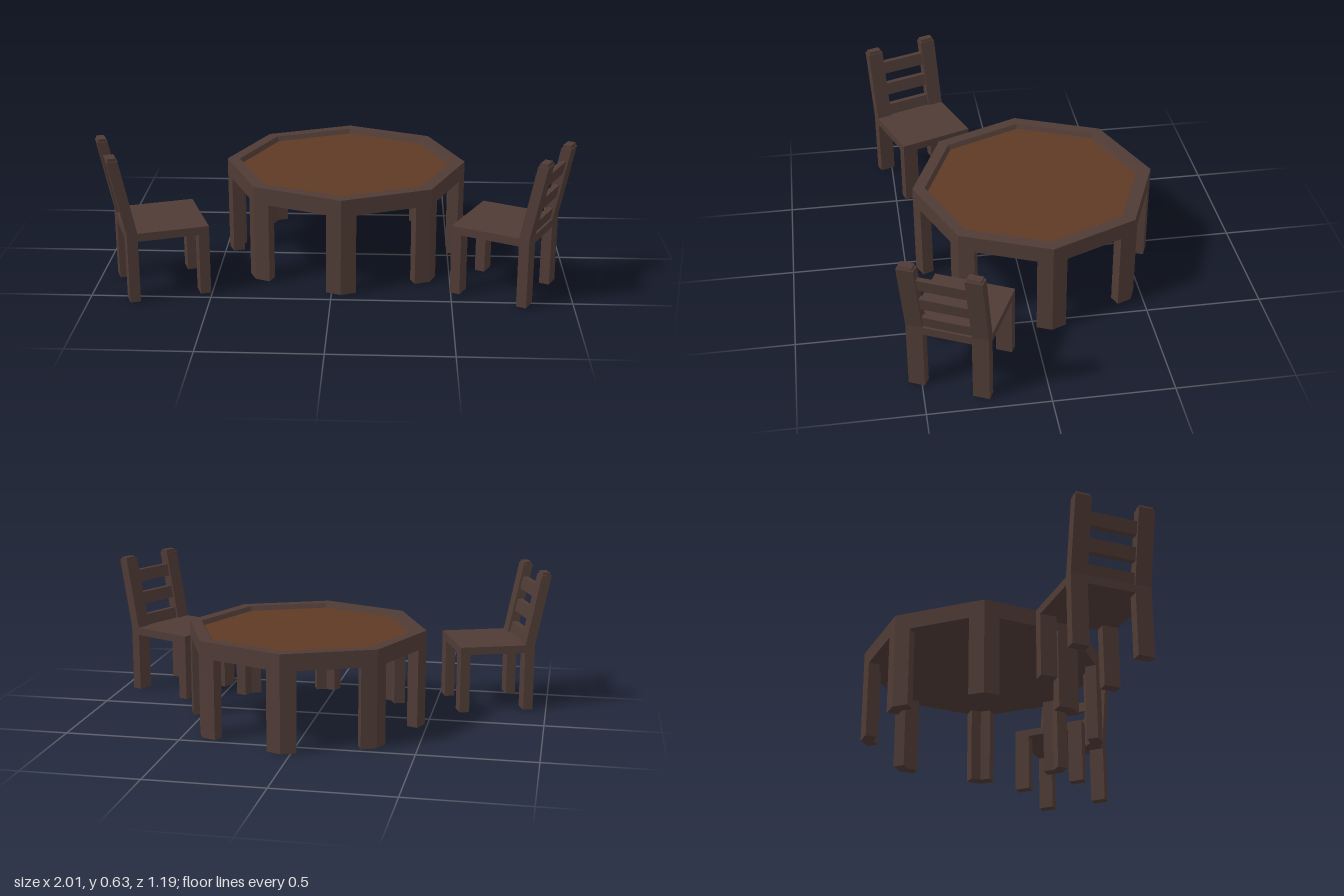
import * as THREE from 'three';

const wood = new THREE.MeshStandardMaterial({ color: 0x4f3b35, flatShading: true });
const panelWood = new THREE.MeshStandardMaterial({ color: 0x5f3a25, flatShading: true });

function add(parent, name, geometry, x = 0, y = 0, z = 0, material = wood) {
  const mesh = new THREE.Mesh(geometry, material);
  mesh.name = name;
  mesh.position.set(x, y, z);
  parent.add(mesh);
  return mesh;
}

const shapeOf = (pts) => new THREE.Shape(pts.map(([x, y]) => new THREE.Vector2(x, y)));

// Extrudes a side profile given as [z, y] points across the width, centred on x
function sideExtrude(pts, width) {
  const g = new THREE.ExtrudeGeometry(shapeOf(pts.map(([z, y]) => [-z, y])), { depth: width, bevelEnabled: false });
  return g.translate(0, 0, -width / 2).rotateY(Math.PI / 2);
}

function createTable() {
  const table = new THREE.Group();
  table.name = 'table';
  const R = 0.528, apron = 0.347, top = 0.42;

  // Octagonal apron with a raised rim and a sloped inner lip
  const profile = [[0, apron], [R, apron], [R, top], [0.474, top], [0.462, 0.4]]
    .map(([x, y]) => new THREE.Vector2(x, y));
  add(table, 'tableRim', new THREE.LatheGeometry(profile, 8));
  add(table, 'tablePanel', new THREE.CylinderGeometry(0.463, 0.463, 0.02, 8), 0, 0.39, 0, panelWood);

  // Angled legs that wrap each corner
  const chevron = shapeOf([
    [R, 0], [R - 0.026, 0.063], [R - 0.073, 0.043],
    [R - 0.055, 0], [R - 0.073, -0.043], [R - 0.026, -0.063],
  ]);
  const legGeometry = new THREE.ExtrudeGeometry(chevron, { depth: apron, bevelEnabled: false }).rotateX(-Math.PI / 2);
  for (let i = 0; i < 8; i++) {
    add(table, 'tableLeg', legGeometry).rotation.y = i * Math.PI / 4;
  }
  return table;
}

function createChair() {
  const chair = new THREE.Group();
  chair.name = 'chair';
  const w = 0.343, d = 0.34, legW = 0.07, legD = 0.044;
  const seatTop = 0.3, seatBottom = 0.265, postTop = 0.615;
  const back = -d / 2, lean = 0.064;
  const shift = (y) => -lean * (y - seatTop) / (postTop - seatTop);

  // Seat in front of the posts, with a tongue between them
  add(chair, 'seat', new THREE.BoxGeometry(w, seatTop - seatBottom, d - legD), 0, (seatTop + seatBottom) / 2, legD / 2);
  add(chair, 'seatBack', new THREE.BoxGeometry(w - 2 * legW, seatTop - seatBottom, legD),
    0, (seatTop + seatBottom) / 2, back + legD / 2);

  // Back legs continue up as leaning posts with small tapered caps
  const t = back - lean, c = 0.006;
  const postGeometry = sideExtrude([
    [back, 0], [back + legD, 0], [back + legD, seatTop],
    [t + legD, postTop], [t, postTop], [back, seatTop],
  ], legW);
  const capGeometry = sideExtrude([
    [t + c / 2, postTop], [t + legD - c / 2, postTop], [t + legD - c, 0.628], [t + c, 0.628],
  ], legW - 2 * c);
  for (const side of [-1, 1]) {
    const x = side * (w - legW) / 2;
    add(chair, 'backPost', postGeometry, x);
    add(chair, 'postCap', capGeometry, x);
    add(chair, 'frontLeg', new THREE.BoxGeometry(legW, seatBottom, legD), x, seatBottom / 2, d / 2 - legD / 2);
  }

  // Back rails follow the lean of the posts
  for (const [y0, y1] of [[0.3, 0.35], [0.4, 0.455], [0.505, 0.56]]) {
    const a = back + 0.01, b = back + 0.034;
    add(chair, 'backRail', sideExtrude([
      [a + shift(y0), y0], [b + shift(y0), y0], [b + shift(y1), y1], [a + shift(y1), y1],
    ], w - 2 * legW));
  }
  return chair;
}

export function createModel() {
  const model = new THREE.Group();
  model.name = 'diningSet';

  const table = createTable();
  table.position.set(0.04, 0, -0.075);
  model.add(table);

  // Two chairs turned towards the table: position and facing direction
  for (const [name, x, z, fx, fz] of [
    ['rightChair', -0.723, 0.348, 0.94, -0.34],
    ['leftChair', 0.724, 0.324, -0.9, -0.435],
  ]) {
    const chair = createChair();
    chair.name = name;
    chair.position.set(x, 0, z);
    chair.rotation.y = Math.atan2(fx, fz);
    model.add(chair);
  }
  return model;
}
